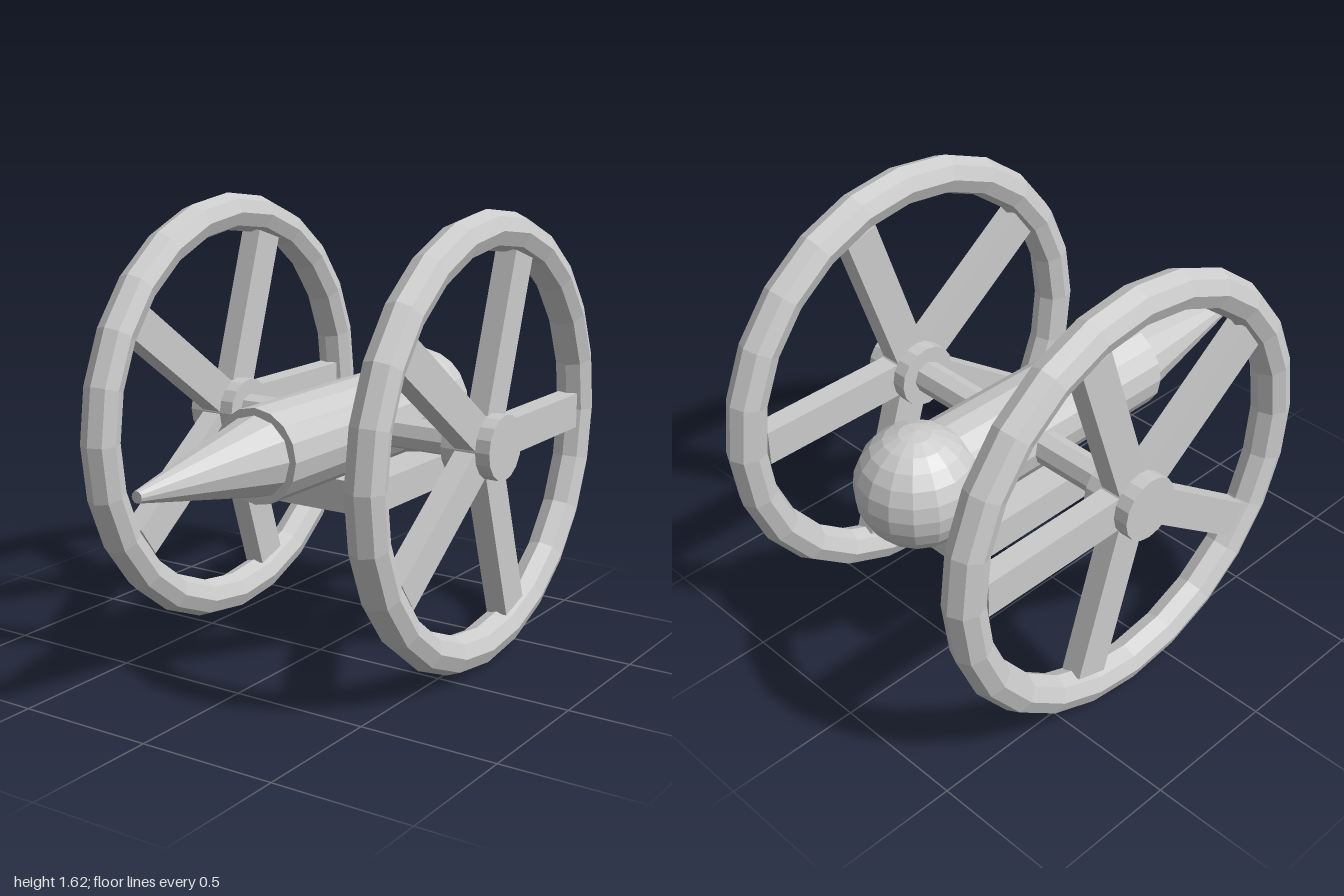
import * as THREE from 'three';

const AXLE_Y = 0.82, AXLE_Z = -0.19, WHEEL_X = 0.545;

export function createModel() {
  const model = new THREE.Group();
  model.name = 'cannon';
  const material = new THREE.MeshStandardMaterial({ color: 0xcccccc, flatShading: true });

  const add = (parent, name, geometry, x = 0, y = 0, z = 0) => {
    const mesh = new THREE.Mesh(geometry, material);
    mesh.name = name;
    mesh.position.set(x, y, z);
    parent.add(mesh);
    return mesh;
  };

  // Barrel with a tapering nose and a ball at the breech
  add(model, 'barrel', new THREE.CylinderGeometry(0.168, 0.168, 0.94, 16).rotateX(Math.PI / 2), 0, AXLE_Y, -0.08);
  add(model, 'nose', new THREE.CylinderGeometry(0.02, 0.142, 0.61, 12).rotateX(Math.PI / 2), 0, AXLE_Y, 0.695);
  add(model, 'breechBall', new THREE.SphereGeometry(0.217, 16, 12), 0, AXLE_Y, -0.635);

  // Carriage block under the breech
  add(model, 'carriageBlock', new THREE.BoxGeometry(0.4, 0.12, 0.595), 0, 0.6, -0.3125);

  // Axle between the wheels
  add(model, 'axle', new THREE.CylinderGeometry(0.06, 0.06, 1.0, 8).rotateZ(Math.PI / 2), 0, AXLE_Y, AXLE_Z);

  // Two five-spoked wheels
  for (const side of [1, -1]) {
    const wheel = new THREE.Group();
    wheel.name = side > 0 ? 'leftWheel' : 'rightWheel';
    wheel.position.set(side * WHEEL_X, AXLE_Y, AXLE_Z);
    add(wheel, 'rim', new THREE.TorusGeometry(0.742, 0.07, 8, 24).rotateY(Math.PI / 2));
    add(wheel, 'hub', new THREE.CylinderGeometry(0.117, 0.117, 0.19, 16).rotateZ(Math.PI / 2));
    for (let i = 0; i < 5; i++) {
      const spoke = new THREE.BoxGeometry(0.08, 0.13, 0.675).translate(0, 0, -0.3375);
      add(wheel, 'spoke', spoke.rotateX(i * Math.PI * 2 / 5));
    }
    model.add(wheel);
  }
  return model;
}
